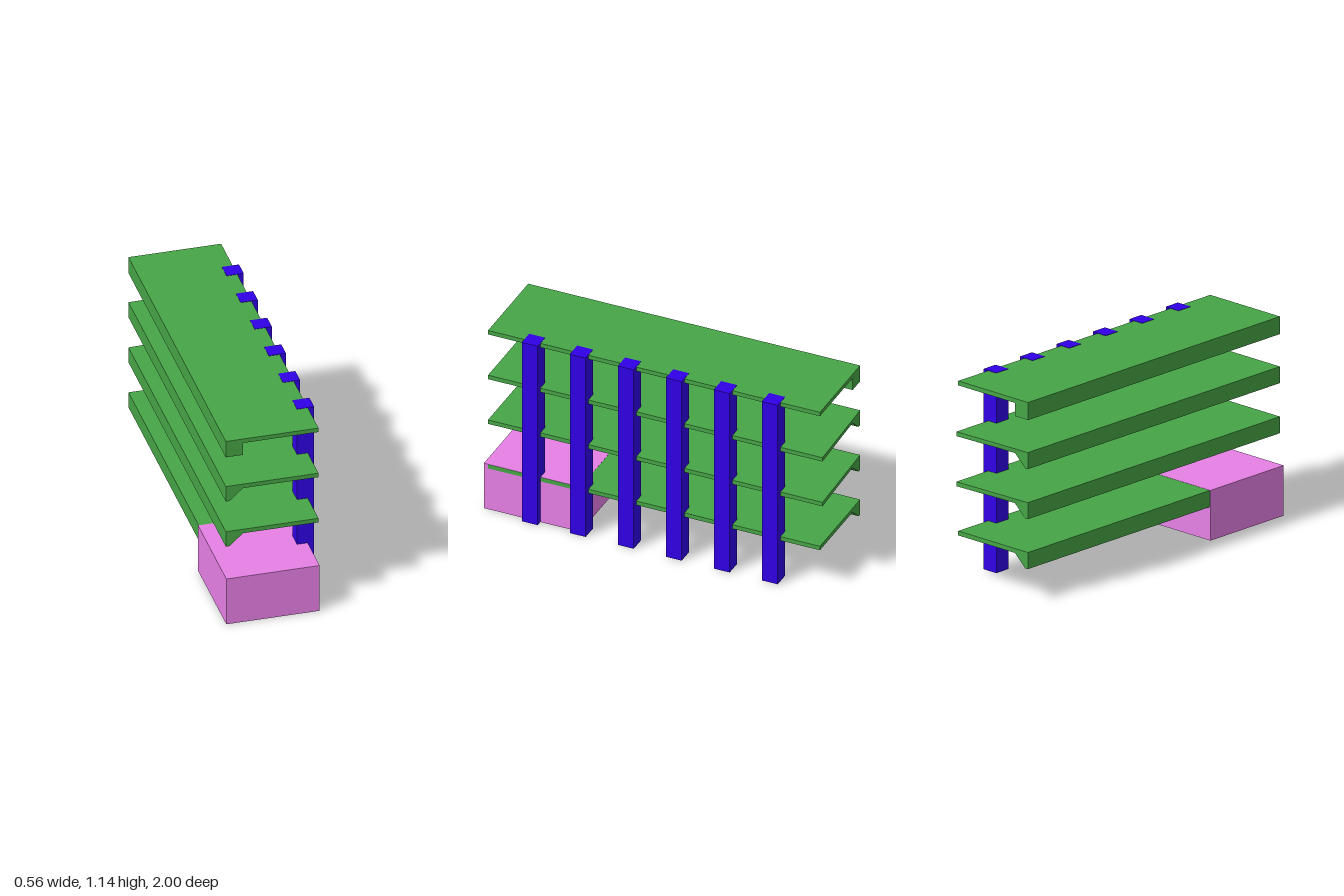
import * as THREE from 'three';

const shelfGreen = new THREE.MeshStandardMaterial({ name: 'shelf green', color: 0x46a546 });
const postBlue = new THREE.MeshStandardMaterial({ name: 'post blue', color: 0x3000e6 });
const basePink = new THREE.MeshStandardMaterial({ name: 'base pink', color: 0xe680e6 });

const LEFT = -0.274, RIGHT = 0.242, FRONT = 0.975, BACK = -0.985;

function box(name, material, x0, x1, y0, y1, z0, z1) {
  const mesh = new THREE.Mesh(new THREE.BoxGeometry(x1 - x0, y1 - y0, z1 - z0), material);
  mesh.position.set((x0 + x1) / 2, (y0 + y1) / 2, (z0 + z1) / 2);
  mesh.name = name;
  return mesh;
}

// Slab with a downstand beam on its outer edge; skew lengthens the inner back corner
function floorSlab(name, top, beamBottom, beamFoot, skew) {
  const under = top - 0.025;
  const profile = new THREE.Shape([
    [LEFT, top], [LEFT, beamBottom], [beamFoot, beamBottom],
    [-0.178, under], [RIGHT, under], [RIGHT, top],
  ].map(([x, y]) => new THREE.Vector2(x, y)));
  const geometry = new THREE.ExtrudeGeometry(profile, { depth: FRONT - BACK, bevelEnabled: false });
  geometry.translate(0, 0, BACK);
  const p = geometry.attributes.position;
  for (let i = 0; i < p.count; i++) {
    if (p.getZ(i) < 0) p.setZ(i, BACK - skew * Math.max(0, p.getX(i) + 0.178) / (RIGHT + 0.178));
  }
  geometry.computeVertexNormals();
  const mesh = new THREE.Mesh(geometry, shelfGreen);
  mesh.name = name;
  return mesh;
}

export function createModel() {
  const model = new THREE.Group();
  model.name = 'deckedFrame';

  // Three floors with tapered beams, and a roof with a square beam
  [[0.284, 0], [0.567, 0.015], [0.851, 0.015]].forEach(([top, skew], i) => {
    model.add(floorSlab(`floor${i + 1}`, top, top - 0.094, -0.254, skew));
  });
  model.add(floorSlab('roof', 1.135, 1.035, -0.178, 0));

  // Solid block at the front end
  model.add(box('baseBlock', basePink, -0.278, 0.241, 0, 0.285, 0.43, 1));

  // Row of posts along the inner edge
  for (let i = 0; i < 6; i++) {
    const z = -0.705 + i * 0.2835;
    model.add(box(`post${i + 1}`, postBlue, 0.182, 0.277, 0.001, 1.137, z - 0.047, z + 0.047));
  }
  return model;
}
